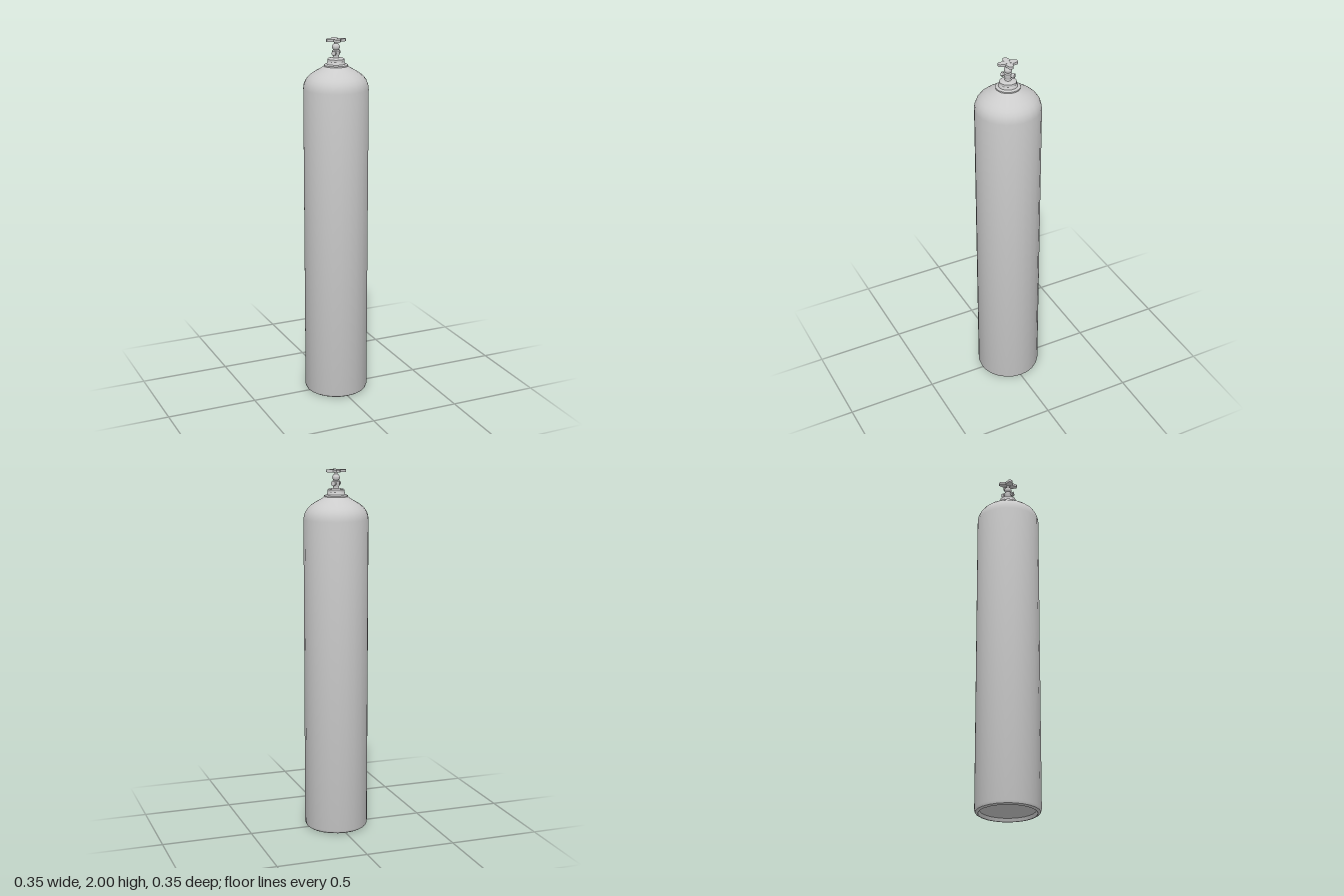
import * as THREE from 'three';
import { toCreasedNormals } from 'three/addons/utils/BufferGeometryUtils.js';

const material = new THREE.MeshStandardMaterial({ color: 0xcccccc });

export function createModel() {
  const model = new THREE.Group();

  const add = (name, geometry, parent = model) => {
    const mesh = new THREE.Mesh(toCreasedNormals(geometry, 0.6), material);
    mesh.name = name;
    parent.add(mesh);
    return mesh;
  };
  const lathe = (points, sides = 24) =>
    new THREE.LatheGeometry(points.map(([r, y]) => new THREE.Vector2(r, y)), sides);

  // Tank: recessed base, rounded foot, straight wall and domed shoulder
  add('tank', lathe([
    [0, 0.018], [0.148, 0.018], [0.156, 0], [0.162, 0], [0.171, 0.006], [0.176, 0.02],
    [0.176, 1.735], [0.173, 1.757], [0.165, 1.778], [0.152, 1.796], [0.133, 1.813],
    [0.108, 1.829], [0.082, 1.843], [0.064, 1.856], [0, 1.856],
  ]));

  // Stepped neck collar
  add('neckCollar', lathe([
    [0.06, 1.85], [0.065, 1.854], [0.065, 1.862], [0.05, 1.867], [0.047, 1.878],
    [0.045, 1.88], [0.045, 1.893], [0.04, 1.897], [0.02, 1.9], [0, 1.9],
  ]));

  // Valve body with a rounded bonnet and a spindle
  add('valveBody', lathe([
    [0.018, 1.895], [0.016, 1.91], [0.02, 1.918], [0.02, 1.938], [0.014, 1.943],
    [0.02, 1.951], [0.021, 1.961], [0.016, 1.971], [0.009, 1.975], [0.009, 1.99], [0, 1.99],
  ], 16));

  // Side outlet and safety plug, lying on a diagonal
  const outlet = new THREE.Group();
  outlet.name = 'valveOutlet';
  outlet.position.y = 1.927;
  outlet.rotation.y = Math.PI / 4;
  model.add(outlet);
  const crossPart = (name, radius, length, x, sides) =>
    add(name, new THREE.CylinderGeometry(radius, radius, length, sides).rotateZ(Math.PI / 2), outlet)
      .position.x = x;
  crossPart('outletPipe', 0.009, 0.066, 0, 12);
  crossPart('outletNut', 0.013, 0.014, 0.029, 12);
  crossPart('safetyPlug', 0.013, 0.012, -0.03, 6);

  // Four-lobed handwheel with radial slots
  const wheel = new THREE.Shape();
  const polar = (r, a) => [r * Math.cos(a), r * Math.sin(a)];
  for (let i = 0; i < 4; i++) {
    const a = i * Math.PI / 2 - 0.13;
    if (i === 0) wheel.moveTo(...polar(0.029, a - Math.PI / 4));
    wheel.lineTo(...polar(0.048, a - 0.25));
    wheel.quadraticCurveTo(...polar(0.055, a - 0.2), ...polar(0.053, a));
    wheel.quadraticCurveTo(...polar(0.055, a + 0.2), ...polar(0.048, a + 0.25));
    wheel.lineTo(...polar(0.029, a + Math.PI / 4));

    const s = a + Math.PI / 4;
    wheel.holes.push(new THREE.Path([
      [0.012, 0], [0.018, -0.14], [0.024, 0], [0.018, 0.14],
    ].map(([r, da]) => new THREE.Vector2(...polar(r, s + da)))));
  }
  add('handwheel', new THREE.ExtrudeGeometry(wheel, { depth: 0.014, bevelEnabled: false, curveSegments: 5 })
    .rotateX(-Math.PI / 2)).position.y = 1.986;

  return model;
}
